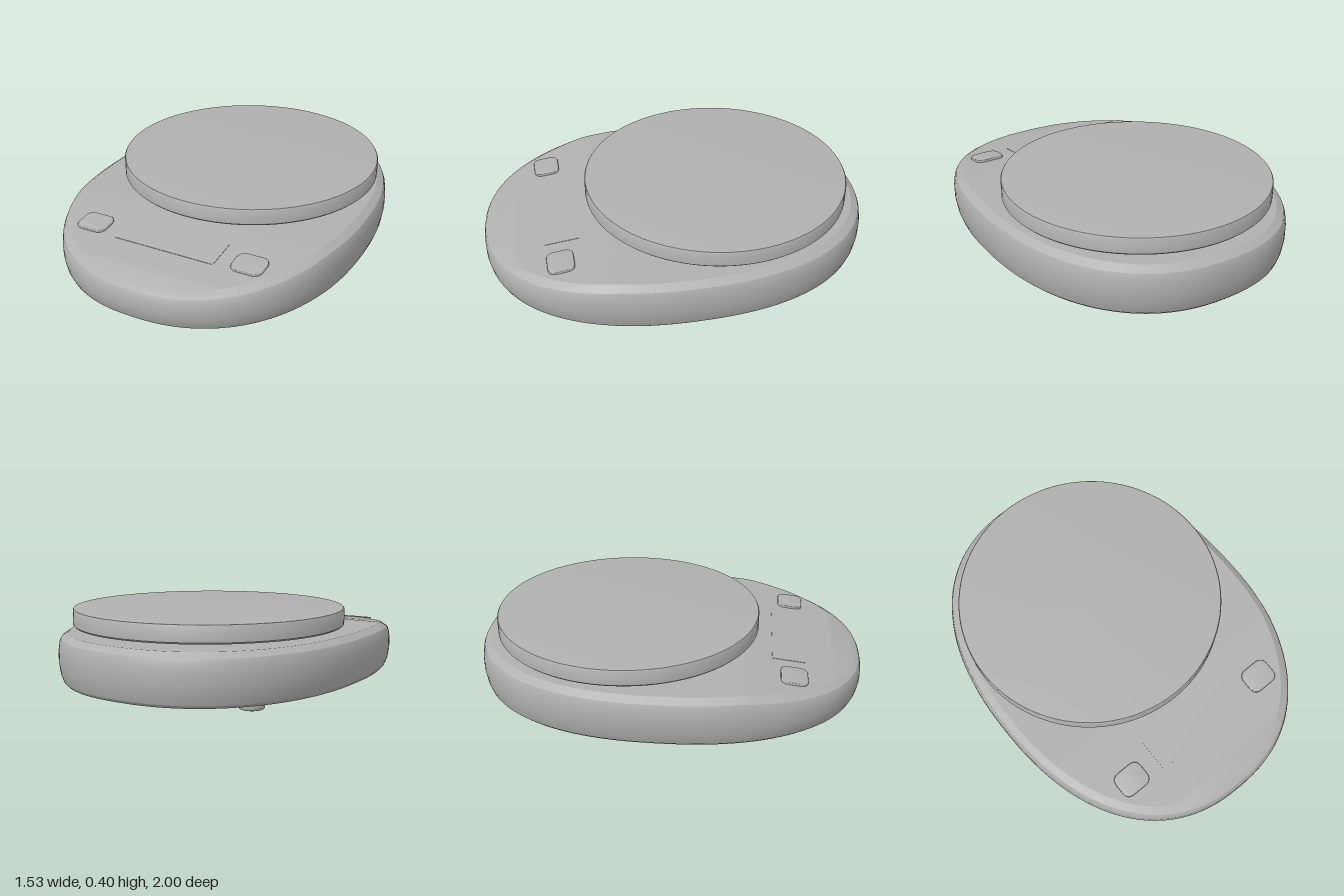
import * as THREE from 'three';
import { toCreasedNormals } from 'three/addons/utils/BufferGeometryUtils.js';
import { RoundedBoxGeometry } from 'three/addons/geometries/RoundedBoxGeometry.js';

const N = 128;
const BASE = 0.04;
const SLOPE = (0.29 - 0.225) / 0.55;

// Height of the top face: level under the platter, sloping down to the front
const topY = (z) => 0.29 - SLOPE * Math.max(0, z - 0.4);

// Rounded oval outline, pulled in by an inset
function outline(i, inset) {
  const t = (i / N) * Math.PI * 2;
  const p = (v) => Math.sign(v) * Math.pow(Math.abs(v), 2 / 2.3);
  return [p(Math.sin(t)) * (0.766 - inset), p(Math.cos(t)) * (1 - inset)];
}

function bodyGeometry() {
  // [inset, depth below the top face as a share of the wall]
  const rings = [[0.035, 0], [0.02, 0.06], [0.008, 0.2], [0, 0.42], [0, 0.65], [0.006, 0.82], [0.014, 0.9], [0.05, 1]];
  const pos = [], index = [];
  for (const [inset, f] of rings) {
    for (let i = 0; i < N; i++) {
      const [x, z] = outline(i, inset);
      pos.push(x, BASE + f * (topY(z) - BASE), z);
    }
  }
  for (let r = 0; r < rings.length - 1; r++) {
    for (let i = 0; i < N; i++) {
      const a = r * N + i, b = r * N + (i + 1) % N;
      index.push(a, b, b + N, a, b + N, a + N);
    }
  }
  // Caps: strips joining mirrored points of the end rings
  const last = (rings.length - 1) * N;
  for (let i = 0; i < N / 2; i++) {
    const r0 = i, r1 = i + 1, l0 = (N - i) % N, l1 = N - i - 1;
    const strip = (o, up) => {
      const tris = [[r0, r1, l1], [r0, l1, l0]];
      for (const t of tris) {
        if (new Set(t).size < 3) continue;
        const [a, b, c] = t;
        index.push(o + a, o + (up ? b : c), o + (up ? c : b));
      }
    };
    strip(last, true);
    strip(0, false);
  }
  const g = new THREE.BufferGeometry();
  g.setAttribute('position', new THREE.Float32BufferAttribute(pos, 3));
  g.setIndex(index);
  return toCreasedNormals(g, 0.45);
}

// Turned solid from [radius, height] points
function turned(points, segments) {
  const g = new THREE.LatheGeometry(points.map(([r, y]) => new THREE.Vector2(r, y)), segments);
  return toCreasedNormals(g, 0.6);
}

export function createModel() {
  const model = new THREE.Group();
  const grey = new THREE.MeshStandardMaterial({ color: 0xb0b0b0 });
  grey.name = 'grey';

  const add = (name, geometry, x = 0, y = 0, z = 0) => {
    const m = new THREE.Mesh(geometry, grey);
    m.name = name;
    m.position.set(x, y, z);
    model.add(m);
    return m;
  };

  add('body', bodyGeometry());

  // Round weighing platter on a short post
  add('platter', turned([[0, 0.315], [0.682, 0.315], [0.69, 0.323], [0.69, 0.396],
    [0.686, 0.402], [0.676, 0.403], [0, 0.403]], 96), 0, 0, -0.23);
  add('platterPost', new THREE.CylinderGeometry(0.115, 0.115, 0.05, 48), 0, 0.3, -0.23);

  // Display and buttons lie on the sloping front
  const tilt = Math.atan(SLOPE);
  const display = add('display', new THREE.BoxGeometry(0.54, 0.006, 0.17), 0, topY(0.615) - 0.001, 0.615);
  display.rotation.x = tilt;

  for (const side of [1, -1]) {
    const name = side > 0 ? 'left' : 'right';
    const s = new THREE.Shape();
    const w = 0.08, h = 0.067, r = 0.045;
    s.moveTo(-w + r, -h);
    s.lineTo(w - r, -h); s.quadraticCurveTo(w, -h, w, -h + r);
    s.lineTo(w, h - r); s.quadraticCurveTo(w, h, w - r, h);
    s.lineTo(-w + r, h); s.quadraticCurveTo(-w, h, -w, h - r);
    s.lineTo(-w, -h + r); s.quadraticCurveTo(-w, -h, -w + r, -h);
    const g = new THREE.ExtrudeGeometry(s, {
      depth: 0.016, bevelEnabled: true, bevelThickness: 0.005, bevelSize: 0.005, bevelOffset: -0.005, bevelSegments: 3,
    });
    const button = add(name + 'Button', toCreasedNormals(g, 0.6), side * 0.43, topY(0.635) - 0.008, 0.635);
    button.rotation.x = tilt - Math.PI / 2;

    // Feet
    for (const end of [1, -1]) {
      add(name + (end > 0 ? 'Front' : 'Back') + 'Foot',
        turned([[0, 0], [0.05, 0], [0.058, 0.003], [0.062, 0.01], [0.062, 0.033], [0.055, 0.045]], 32),
        side * 0.48, 0, end * 0.605);
    }
  }
  return model;
}
